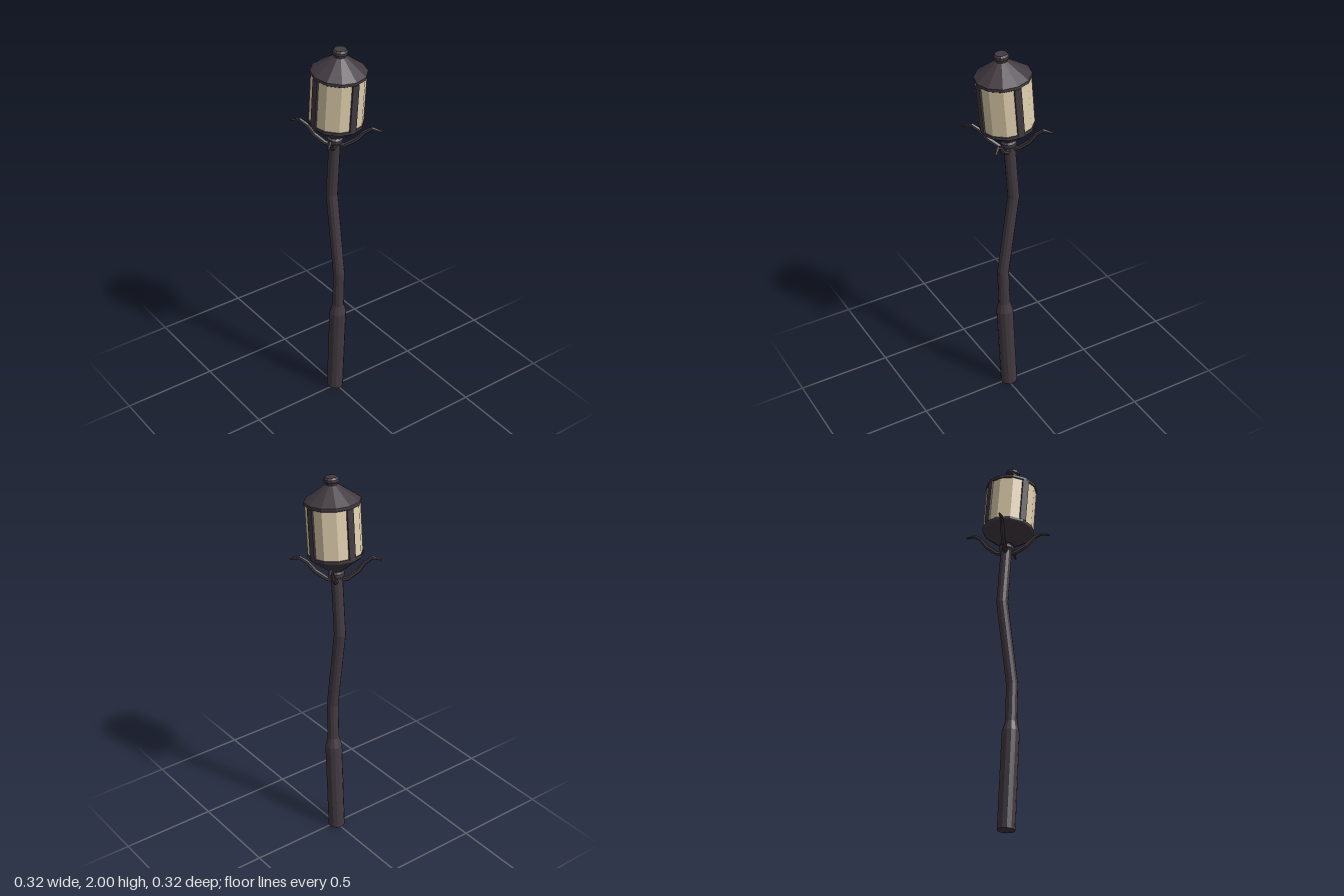
import * as THREE from 'three';

const SIDES = 12;

// split the faces so that every facet is flat
function flat(geometry) {
  const g = geometry.index ? geometry.toNonIndexed() : geometry;
  g.computeVertexNormals();
  return g;
}

// closed tube through rings [z, y, radius] in the plane x = 0
function loft(rings, sides) {
  const n = rings.length - 1;
  const g = new THREE.CylinderGeometry(1, 1, n, sides, n);
  const p = g.attributes.position;
  for (let i = 0; i < p.count; i++) {
    const k = Math.round(p.getY(i) + n / 2);
    const [z, y, r] = rings[k];
    const a = rings[Math.max(k - 1, 0)], b = rings[Math.min(k + 1, n)];
    const t = new THREE.Vector2(b[0] - a[0], b[1] - a[1]).normalize();
    const across = p.getZ(i) * r;
    p.setXYZ(i, p.getX(i) * r, y - t.x * across, z + t.y * across);
  }
  return flat(g);
}

// turned part from [radius, y] points, listed bottom to top
function turned(points) {
  const profile = points.map(([r, y]) => new THREE.Vector2(r, y));
  return flat(new THREE.LatheGeometry(profile, SIDES));
}

export function createModel() {
  const iron = new THREE.MeshStandardMaterial({ color: 0x423a41 });
  iron.name = 'dark iron';
  const glass = new THREE.MeshStandardMaterial({ color: 0xe0d0ae });
  glass.name = 'cream glass';

  const model = new THREE.Group();
  model.name = 'streetLamp';
  const add = (parent, name, geometry, material = iron) => {
    const mesh = new THREE.Mesh(geometry, material);
    mesh.name = name;
    parent.add(mesh);
    return mesh;
  };

  // crooked post with a thicker foot
  add(model, 'post', loft([
    [-0.01, 0.002, 0.044], [0.016, 0.5, 0.044], [0.019, 0.55, 0.03],
    [0.025, 0.75, 0.03], [-0.035, 1.19, 0.03], [-0.01, 1.5, 0.029],
  ], SIDES));

  // lantern head leans forward with the top of the post
  const head = new THREE.Group();
  head.name = 'lanternHead';
  head.position.set(0, 1.475, -0.011);
  head.rotation.x = 0.087;
  model.add(head);

  add(head, 'collar', turned([
    [0, 0.01], [0.028, 0.012], [0.04, 0.03], [0.04, 0.043], [0.029, 0.052], [0.029, 0.062], [0, 0.062],
  ]));
  add(head, 'lanternBase', turned([
    [0, 0.056], [0.036, 0.056], [0.134, 0.132], [0.137, 0.138], [0.137, 0.15], [0.128, 0.152], [0, 0.152],
  ]));
  add(head, 'roof', turned([
    [0, 0.392], [0.132, 0.392], [0.137, 0.396], [0.137, 0.411], [0.03, 0.487], [0, 0.487],
  ]));
  add(head, 'finial', turned([
    [0.027, 0.484], [0.027, 0.495], [0.037, 0.501], [0.037, 0.514], [0.03, 0.523], [0, 0.523],
  ]));

  // faceted glass behind four upright bars
  const pane = new THREE.CylinderGeometry(0.133, 0.133, 0.244, SIDES, 1, true);
  pane.translate(0, 0.272, 0);
  add(head, 'glass', flat(pane), glass);

  const barGeometry = new THREE.BoxGeometry(0.036, 0.246, 0.012);
  barGeometry.translate(0, 0.272, 0.131);
  const armGeometry = loft([
    [0.01, 0.002, 0.012], [0.05, 0.01, 0.012], [0.105, 0.05, 0.012],
    [0.14, 0.095, 0.011], [0.176, 0.12, 0.01], [0.222, 0.109, 0.005],
  ], 6);
  for (let i = 0; i < 4; i++) {
    add(head, 'lanternBar', barGeometry).rotation.y = i * Math.PI / 2;
    // curled arms on the diagonals
    add(head, 'curledArm', armGeometry).rotation.y = (i + 0.5) * Math.PI / 2;
  }
  return model;
}
